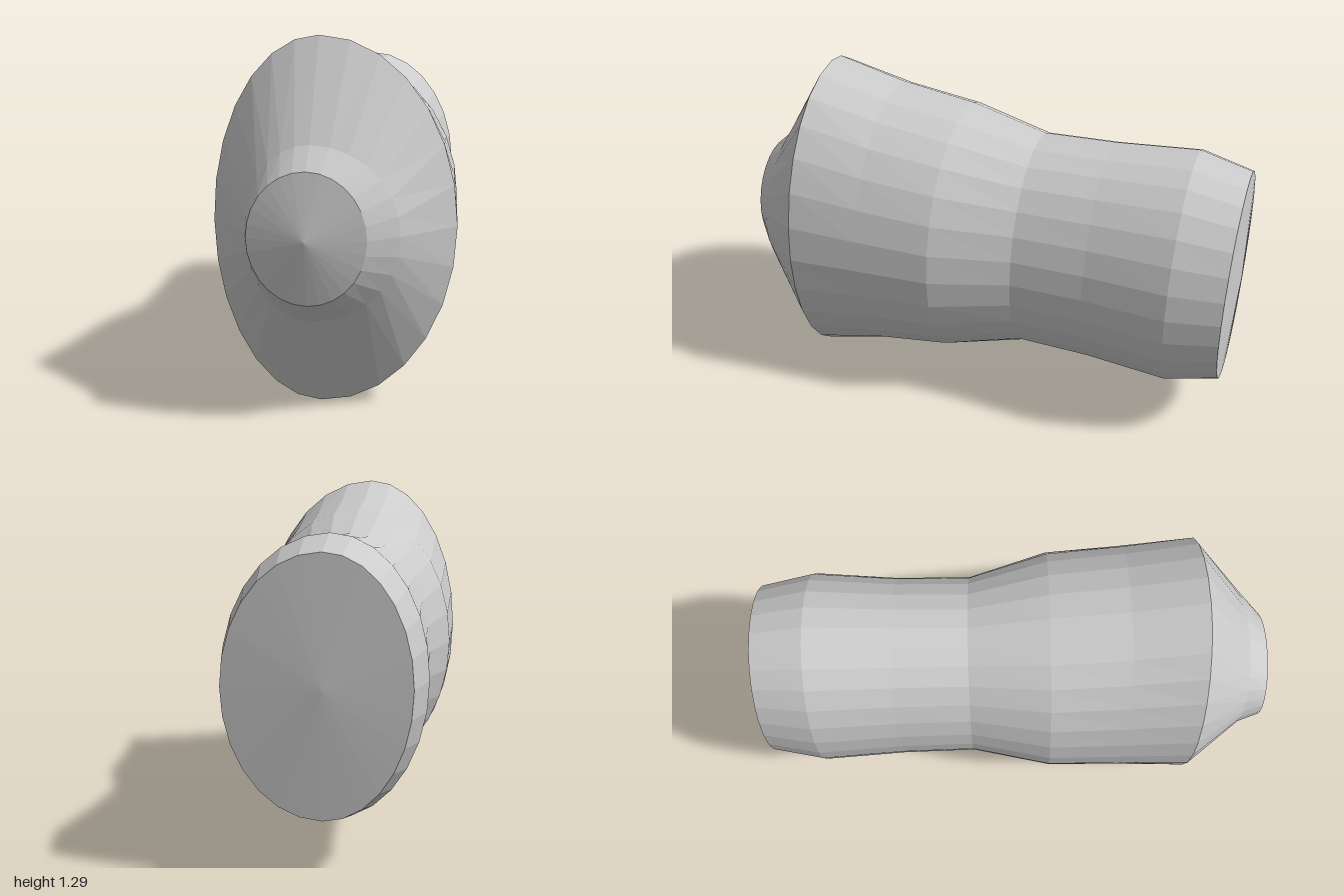
import * as THREE from 'three';

const SIDES = 28;
const CENTRE_X = -0.05;

// Cross-sections from front to back: z, bottom, top, xMin, xMax
const SECTIONS = [
  [1.0, 0.645, 0.645, -0.05, -0.05],
  [0.96, 0.425, 0.87, -0.25, 0.15],
  [0.88, 0.35, 0.945, -0.275, 0.25],
  [0.68, 0.0, 1.29, -0.425, 0.425],
  [0.41, 0.075, 1.22, -0.425, 0.41],
  [0.12, 0.12, 1.175, -0.425, 0.395],
  [-0.18, 0.195, 1.10, -0.36, 0.30],
  [-0.46, 0.185, 1.11, -0.365, 0.30],
  [-0.78, 0.16, 1.135, -0.385, 0.325],
  [-0.98, 0.21, 1.085, -0.345, 0.285],
  [-1.0, 0.645, 0.645, -0.05, -0.05],
];

// Joins the given cross-sections; the two halves of each oval differ in width
function loft(sections) {
  const positions = [];
  const indices = [];
  for (const [z, bottom, top, xMin, xMax] of sections) {
    for (let j = 0; j < SIDES; j++) {
      const angle = (j / SIDES) * Math.PI * 2;
      const c = Math.cos(angle);
      const rx = c > 0 ? xMax - CENTRE_X : CENTRE_X - xMin;
      const y = (bottom + top) / 2 + ((top - bottom) / 2) * Math.sin(angle);
      positions.push(CENTRE_X + rx * c, y, z);
    }
  }
  const isTip = (s) => s[1] === s[2];
  for (let i = 0; i < sections.length - 1; i++) {
    for (let j = 0; j < SIDES; j++) {
      const k = (j + 1) % SIDES;
      const a = i * SIDES + j, b = i * SIDES + k;
      const c = a + SIDES, d = b + SIDES;
      if (!isTip(sections[i])) indices.push(a, c, b);
      if (!isTip(sections[i + 1])) indices.push(b, c, d);
    }
  }
  const geometry = new THREE.BufferGeometry();
  geometry.setAttribute('position', new THREE.Float32BufferAttribute(positions, 3));
  geometry.setIndex(indices);
  geometry.computeVertexNormals();
  return geometry;
}

export function createModel() {
  const group = new THREE.Group();
  group.name = 'taperedBody';
  const material = new THREE.MeshStandardMaterial({ color: 0xcccccc, flatShading: true });

  // Each part spans a run of neighbouring sections
  const parts = [
    ['noseCap', 0, 1],
    ['noseCone', 1, 3],
    ['frontBody', 3, 6],
    ['rearBody', 6, 9],
    ['rearCap', 9, 10],
  ];
  for (const [name, first, last] of parts) {
    const mesh = new THREE.Mesh(loft(SECTIONS.slice(first, last + 1)), material);
    mesh.name = name;
    group.add(mesh);
  }
  return group;
}
